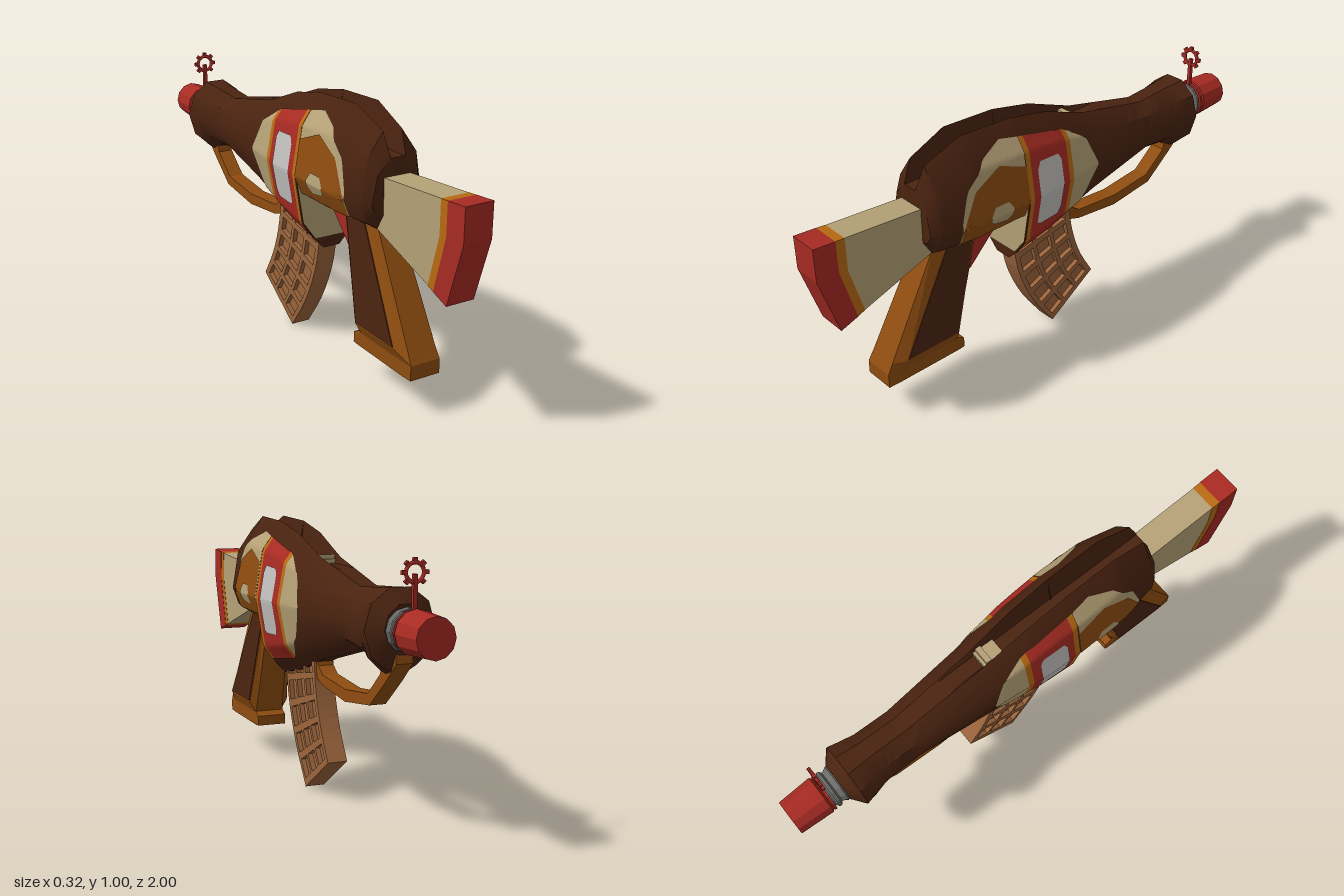
import * as THREE from 'three';
import { toCreasedNormals } from 'three/addons/utils/BufferGeometryUtils.js';

const mat = (name, color, side = THREE.DoubleSide) => {
  const m = new THREE.MeshStandardMaterial({ color, side });
  m.name = name;
  return m;
};

// Body sections: z, top, bottom, half width
const REAR = [[0.575, 0.87, 0.66, 0.1], [0.54, 0.95, 0.6, 0.125], [0.39, 1.01, 0.6, 0.148], [0.17, 1.0, 0.6, 0.152]];
const FRONT = [[0.17, 1.0, 0.41, 0.152], [0, 0.965, 0.45, 0.145], [-0.2, 0.89, 0.52, 0.125], [-0.52, 0.82, 0.605, 0.1],
  [-0.66, 0.83, 0.59, 0.102], [-0.72, 0.835, 0.555, 0.116], [-0.76, 0.84, 0.57, 0.126], [-0.8, 0.79, 0.64, 0.075]];
const MID = 0.71;

function sectionAt(list, z) {
  let i = 0;
  while (i < list.length - 2 && z < list[i + 1][0]) i++;
  const a = list[i], b = list[i + 1], t = THREE.MathUtils.clamp((z - a[0]) / (b[0] - a[0]), 0, 1);
  return a.map((v, k) => v + (b[k] - v) * t);
}

// Half cross-section from the groove floor round the side to the belly
function halfProfile([, top, bot, w]) {
  const up = top - MID, down = MID - bot, floor = Math.min(0.865, top);
  return [[0, floor], [0.027, floor], [0.3 * w, top], [0.8 * w, MID + 0.63 * up], [w, MID],
    [0.8 * w, MID - 0.63 * down], [0.46 * w, MID - 0.88 * down], [0.22 * w, bot], [0, bot]];
}

function bodyX(z, y) {
  const p = halfProfile(sectionAt(z > 0.1701 ? REAR : FRONT, z));
  for (let i = 2; i < p.length - 2; i++) {
    if (y <= p[i][1] && y >= p[i + 1][1]) {
      const t = (p[i][1] - y) / (p[i][1] - p[i + 1][1]);
      return p[i][0] + (p[i + 1][0] - p[i][0]) * t;
    }
  }
  return y > MID ? p[2][0] : p[7][0];
}

// Skin a list of closed rings and cap both ends
function loft(rings, crease = 0.5) {
  const pos = [], n = rings[0].length;
  const tri = (...v) => v.forEach(p => pos.push(...p));
  for (let r = 0; r < rings.length - 1; r++) {
    for (let i = 0; i < n; i++) {
      const a = rings[r], b = rings[r + 1], j = (i + 1) % n;
      tri(a[i], a[j], b[i]);
      tri(a[j], b[j], b[i]);
    }
  }
  const centre = ring => [0, 1, 2].map(k => ring.reduce((s, p) => s + p[k], 0) / n);
  const first = rings[0], last = rings[rings.length - 1], c0 = centre(first), c1 = centre(last);
  for (let i = 0; i < n; i++) {
    const j = (i + 1) % n;
    tri(c0, first[j], first[i]);
    tri(c1, last[i], last[j]);
  }
  const g = new THREE.BufferGeometry();
  g.setAttribute('position', new THREE.Float32BufferAttribute(pos, 3));
  return toCreasedNormals(g, crease);
}

function bodyLoft(list) {
  const rings = [];
  list.forEach((s, i) => {
    const next = list[i + 1], steps = next ? 5 : 1;
    for (let k = 0; k < steps; k++) {
      const z = next ? s[0] + (next[0] - s[0]) * k / steps : s[0];
      const half = halfProfile(sectionAt(list, z));
      const other = half.slice(1, -1).reverse().map(([x, y]) => [-x, y]);
      rings.push([...half, ...other].map(([x, y]) => [x, y, z]));
    }
  });
  return loft(rings, 0.6);
}

// Painted panel hugging the body; columns are [z, top, bottom]
function panel(columns, lift) {
  const NU = 30, NV = 40;
  const g = new THREE.PlaneGeometry(1, 1, NU, NV), p = g.attributes.position;
  const z0 = columns[0][0], z1 = columns[columns.length - 1][0];
  for (let i = 0; i < p.count; i++) {
    const z = z0 + (z1 - z0) * (p.getX(i) + 0.5);
    const [, top, bot] = sectionAt(columns, z);
    const y = bot + (top - bot) * (p.getY(i) + 0.5);
    p.setXYZ(i, bodyX(z, y) + lift, y, z);
  }
  return toCreasedNormals(g, 0.6);
}

// Side-view outline of [z, y] points extruded across x
function slab(points, halfWidth, holes = []) {
  const v = a => a.map(([z, y]) => new THREE.Vector2(z, y));
  const shape = new THREE.Shape(v(points));
  shape.holes = holes.map(h => new THREE.Path(v(h)));
  return new THREE.ExtrudeGeometry(shape, { depth: 2 * halfWidth, bevelEnabled: false })
    .rotateY(-Math.PI / 2).translate(halfWidth, 0, 0);
}

export function createModel() {
  const chocolate = mat('chocolate', 0x4a2310), caramel = mat('caramel', 0x8f4d10), amber = mat('amber', 0xb86a12);
  const red = mat('red', 0xa82b23), cream = mat('cream', 0xb5a176), white = mat('label white', 0xc4c2c0);
  const grey = mat('grey', 0x6c6c6a), waffle = mat('waffle', 0x9a643c);
  const root = new THREE.Group();
  const add = (name, geometry, material, parent = root) => {
    const m = new THREE.Mesh(geometry, material);
    m.name = name;
    parent.add(m);
    return m;
  };

  // Bottle-shaped body with a sighting groove, and the step under the rear
  add('rearBody', bodyLoft(REAR), chocolate);
  add('frontBody', bodyLoft(FRONT), chocolate);
  const step = [[0.07, 0.455], [0.121, 0.525], [0.148, 0.69]];
  add('bodyStep', new THREE.ShapeGeometry(new THREE.Shape(
    [...step, ...step.slice().reverse().map(([x, y]) => [-x, y])].map(([x, y]) => new THREE.Vector2(x, y))))
    .translate(0, 0, 0.174), cream);

  // Painted side panels, mirrored
  const panels = [
    ['rearPanel', cream, 0.004, [[0.465, 0.73, 0.615], [0.43, 0.84, 0.615], [0.345, 0.925, 0.615], [0.25, 0.96, 0.615], [0.172, 0.945, 0.615]]],
    ['rearPatch', caramel, 0.007, [[0.463, 0.71, 0.612], [0.4, 0.835, 0.612], [0.29, 0.89, 0.612], [0.172, 0.845, 0.612]]],
    ['patchSpot', cream, 0.01, [[0.35, 0.72, 0.695], [0.33, 0.75, 0.68], [0.27, 0.75, 0.67], [0.25, 0.72, 0.69]]],
    ['rearBand', amber, 0.004, [[0.17, 0.945, 0.468], [0.148, 0.94, 0.47]]],
    ['redBand', red, 0.004, [[0.148, 0.94, 0.47], [-0.035, 0.9, 0.5]]],
    ['frontBand', amber, 0.004, [[-0.035, 0.9, 0.5], [-0.058, 0.89, 0.515]]],
    ['frontPanel', cream, 0.004, [[-0.058, 0.89, 0.515], [-0.15, 0.83, 0.6], [-0.2, 0.72, 0.7]]],
    ['label', white, 0.007, [[0.12, 0.81, 0.59], [0.105, 0.84, 0.58], [0.015, 0.835, 0.583], [0, 0.81, 0.61]]],
  ];
  for (const side of [1, -1]) {
    const group = new THREE.Group();
    group.name = side > 0 ? 'leftPaint' : 'rightPaint';
    group.scale.x = side;
    for (const [name, m, lift, columns] of panels) add(name, panel(columns, lift), m, group);
    root.add(group);
  }

  // Stock in three colours
  add('stock', slab([[0.5, 0.797], [0.88, 0.825], [0.88, 0.7], [0.83, 0.515], [0.5, 0.625]], 0.053), cream);
  add('stockBand', slab([[0.88, 0.825], [0.915, 0.828], [0.915, 0.71], [0.86, 0.504], [0.83, 0.515], [0.88, 0.7]], 0.054), amber);
  add('buttPad', slab([[0.915, 0.828], [1, 0.835], [1, 0.71], [0.93, 0.48], [0.86, 0.504], [0.915, 0.71]], 0.055), red);

  // Grip with chamfered edges; levels are y, front z, back z, side and edge half widths
  const levels = [[0.62, 0.33, 0.53, 0.056, 0.045], [0.235, 0.44, 0.742, 0.082, 0.056], [0.195, 0.45, 0.765, 0.063, 0.059],
    [0.18, 0.42, 0.765, 0.062, 0.06], [0.14, 0.42, 0.765, 0.062, 0.06]];
  add('grip', loft(levels.map(([y, f, b, w, e]) => {
    const half = [[e, f], [w, f + 0.02], [w, b - 0.05], [e, b]];
    return [...half, ...half.slice().reverse().map(([x, z]) => [-x, z])].map(([x, z]) => [x, y, z]);
  }), 0.2), caramel);
  for (const side of [1, -1]) {
    const panelGeo = slab([[0.475, 0.61], [0.69, 0.24], [0.465, 0.24], [0.36, 0.61]], 0.003);
    const p = panelGeo.attributes.position;
    for (let i = 0; i < p.count; i++) p.setX(i, p.getX(i) + side * (0.056 + 0.026 * (0.62 - p.getY(i)) / 0.385));
    panelGeo.computeVertexNormals();
    add('gripPanel', panelGeo, chocolate);
  }
  add('trigger', slab([[0.38, 0.62], [0.19, 0.62], [0.21, 0.575], [0.345, 0.44], [0.38, 0.44]], 0.02), red);

  // Curved waffle magazine: thin core and a lattice of ribs
  const curve = a => new THREE.CatmullRomCurve3(a.map(([z, y]) => new THREE.Vector3(z, y, 0)));
  const backEdge = curve([[0.155, 0.5], [0.125, 0.325], [0.05, 0.155], [-0.055, 0.005]]);
  const frontEdge = curve([[-0.135, 0.53], [-0.155, 0.4], [-0.2, 0.27], [-0.27, 0.15]]);
  const at = (u, v) => {
    const q = backEdge.getPoint(v).lerp(frontEdge.getPoint(v), u);
    return [q.x, q.y];
  };
  const outline = [];
  for (let i = 0; i <= 10; i++) outline.push(at(0, i / 10));
  for (let i = 10; i >= 0; i--) outline.push(at(1, i / 10));
  const cells = [];
  for (let c = 0; c < 3; c++) for (let r = 0; r < 5; r++) {
    const u = 0.07 + c * 0.3, v = 0.03 + r * 0.194;
    cells.push([at(u, v), at(u + 0.24, v), at(u + 0.24, v + 0.14), at(u, v + 0.14)]);
  }
  add('magazineRibs', slab(outline, 0.038, cells), waffle);
  add('magazineCore', slab(outline.map(([z, y]) => [z * 0.98 - 0.001, y * 0.98 + 0.006]), 0.02), waffle);

  // Front hand loop
  add('handLoop', slab([[-0.12, 0.45], [-0.2, 0.424], [-0.4, 0.403], [-0.6, 0.43], [-0.72, 0.53], [-0.795, 0.6], [-0.79, 0.66],
    [-0.69, 0.6], [-0.68, 0.55], [-0.585, 0.468], [-0.4, 0.447], [-0.2, 0.463], [-0.16, 0.49], [-0.15, 0.53], [-0.1, 0.53]], 0.03), caramel);

  // Ringed neck and bottle cap
  const lathe = pts => toCreasedNormals(new THREE.LatheGeometry(pts.map(([r, z]) => new THREE.Vector2(r, z)), 12), 0.4)
    .rotateX(-Math.PI / 2).translate(0, MID, 0);
  add('neckRings', lathe([[0.066, 0.78], [0.073, 0.805], [0.066, 0.815], [0.062, 0.825], [0.073, 0.832], [0.073, 0.842], [0.062, 0.848], [0.062, 0.87]]), grey);
  add('cap', lathe([[0, 0.853], [0.073, 0.853], [0.073, 0.862], [0.066, 0.864], [0.075, 0.87], [0.073, 0.91], [0.068, 1], [0, 1]]), red);

  // Front sight: toothed ring on a post
  const sight = new THREE.Group();
  sight.name = 'frontSight';
  sight.position.set(0, 0.895, -0.855);
  add('sightRing', new THREE.TorusGeometry(0.031, 0.007, 6, 20), red, sight);
  for (let i = 0; i < 8; i++) {
    const a = i * Math.PI / 4;
    const tooth = add('sightTooth', new THREE.BoxGeometry(0.014, 0.014, 0.012), red, sight);
    tooth.position.set(Math.sin(a) * 0.039, Math.cos(a) * 0.039, 0);
    tooth.rotation.z = -a;
  }
  add('sightPost', new THREE.BoxGeometry(0.014, 0.13, 0.014), red, sight).position.y = -0.07;
  root.add(sight);

  // Rear sight block in the groove
  add('rearSight', new THREE.BoxGeometry(0.064, 0.016, 0.085), cream).position.set(0, 0.873, -0.13);
  add('rearSightBar', new THREE.BoxGeometry(0.066, 0.022, 0.022), cream).position.set(0, 0.885, -0.15);
  return root;
}
